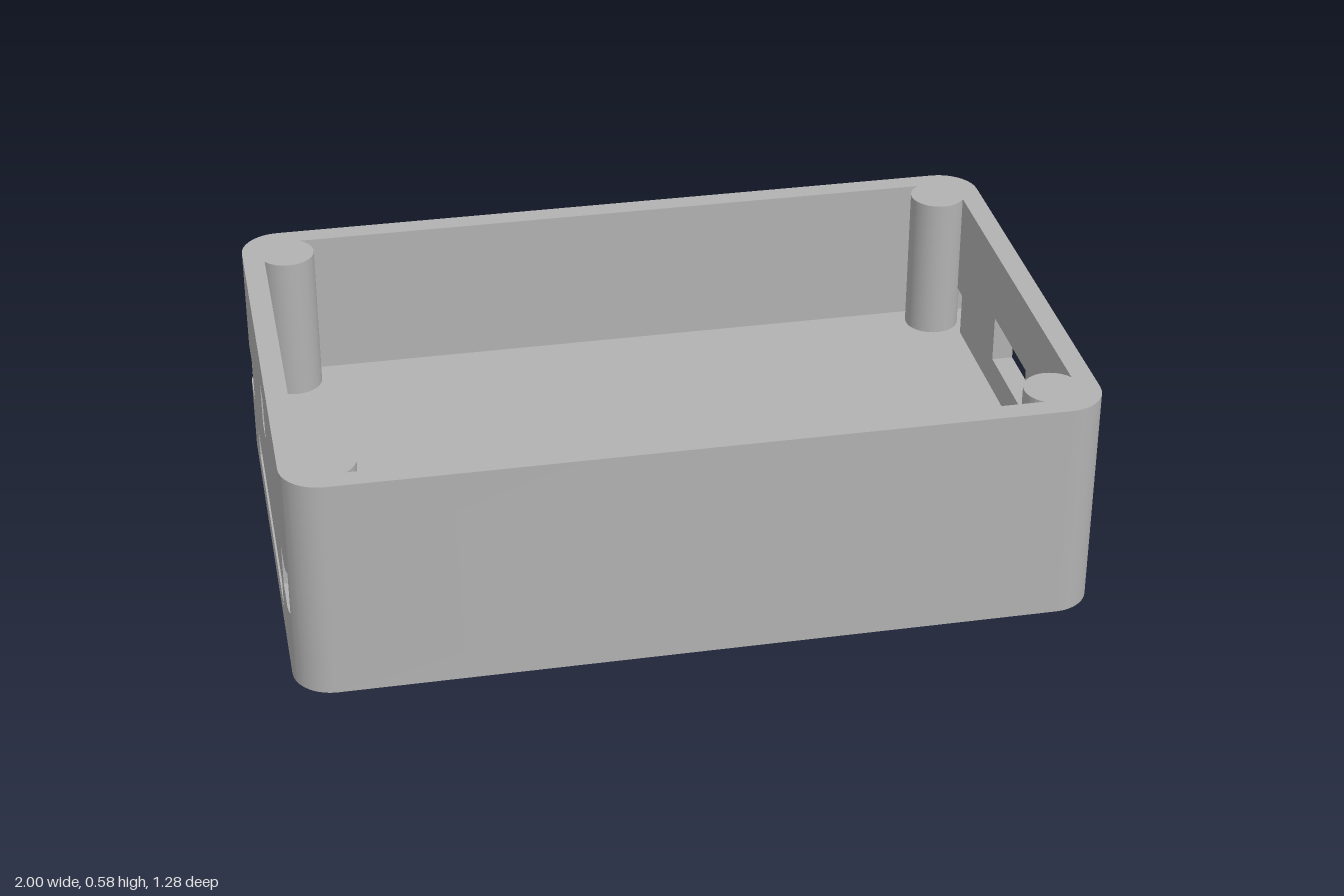
import * as THREE from 'three';
import { toCreasedNormals } from 'three/addons/utils/BufferGeometryUtils.js';

// Overall sizes
const W = 1, D = 0.64, TOP = 0.585, FLOOR = 0.195, CORNER = 0.1;
const IN_X = 0.945, IN_Z = 0.585;
const POST = { x: 0.885, z: 0.525, r: 0.072, bore: 0.025 };

// Openings in an end wall: z range, y range, and the x where the cut ends
const SHARED = [
  { z: [-0.36, 0.36], y: [0.075, 0.15], end: 0 }, // slot running right through the base
  { z: [0.44, 0.57], y: [0.195, 0.31], end: IN_X },
  { z: [-0.57, -0.44], y: [0.195, 0.31], end: IN_X },
];
const PORTS = {
  1: { z: [-0.14, 0.14], y: [0.28, 0.405], end: IN_X },
  '-1': { z: [-0.0425, 0.0425], y: [0.365, 0.48], end: IN_X },
};

const sortUnique = (a) => [...new Set(a.map((v) => +v.toFixed(5)))].sort((p, q) => p - q);

// Grid lines of the end walls, with the rounded corners sampled by angle
const halfZ = [0.0425, 0.14, 0.36, 0.44, 0.57, IN_Z];
for (let i = 0; i <= 9; i++) halfZ.push(D - CORNER + CORNER * Math.sin((i * Math.PI) / 18));
const ZS = sortUnique(halfZ.flatMap((z) => [z, -z]));
const YS = sortUnique([0, TOP, FLOOR, ...[...SHARED, PORTS[1], PORTS[-1]].flatMap((o) => o.y)]);

const outerX = (z) => {
  const t = Math.max(0, Math.abs(z) - (D - CORNER));
  return W - CORNER + Math.sqrt(Math.max(0, CORNER * CORNER - t * t));
};

// Collects quads and turns them into one geometry
function quadBuilder() {
  const pos = [];
  return {
    quad(pts, sx = 1) {
      const p = pts.map(([x, y, z]) => [x * sx, y, z]);
      if (sx < 0) p.reverse();
      for (const i of [0, 1, 2, 0, 2, 3]) pos.push(...p[i]);
    },
    geometry() {
      const g = new THREE.BufferGeometry();
      g.setAttribute('position', new THREE.Float32BufferAttribute(pos, 3));
      return toCreasedNormals(g, 0.45);
    },
  };
}

// Outer skin, inner skin and opening reveals of both ends, plus the long walls
function shellGeometry() {
  const b = quadBuilder();
  for (const sx of [1, -1]) {
    const openings = [...SHARED, PORTS[sx]];
    const openAt = (i, j) => {
      const z = (ZS[i] + ZS[i + 1]) / 2, y = (YS[j] + YS[j + 1]) / 2;
      return openings.find((o) => z > o.z[0] && z < o.z[1] && y > o.y[0] && y < o.y[1]);
    };
    for (let i = 0; i < ZS.length - 1; i++) {
      for (let j = 0; j < YS.length - 1; j++) {
        const z0 = ZS[i], z1 = ZS[i + 1], y0 = YS[j], y1 = YS[j + 1];
        const x0 = outerX(z0), x1 = outerX(z1);
        const open = openAt(i, j);
        if (!open) {
          b.quad([[x1, y0, z1], [x0, y0, z0], [x0, y1, z0], [x1, y1, z1]], sx);
          if (y0 > FLOOR - 0.001 && z0 > -IN_Z - 0.001 && z1 < IN_Z + 0.001)
            b.quad([[IN_X, y1, z1], [IN_X, y1, z0], [IN_X, y0, z0], [IN_X, y0, z1]], sx);
          continue;
        }
        const e = open.end;
        if (!openAt(i, j - 1)) b.quad([[e, y0, z1], [x1, y0, z1], [x0, y0, z0], [e, y0, z0]], sx);
        if (!openAt(i, j + 1)) b.quad([[e, y1, z0], [x0, y1, z0], [x1, y1, z1], [e, y1, z1]], sx);
        if (!openAt(i - 1, j)) b.quad([[e, y0, z0], [x0, y0, z0], [x0, y1, z0], [e, y1, z0]], sx);
        if (!openAt(i + 1, j)) b.quad([[e, y1, z1], [x1, y1, z1], [x1, y0, z1], [e, y0, z1]], sx);
      }
    }
  }
  // Long front and back walls
  const fx = W - CORNER;
  for (let j = 0; j < YS.length - 1; j++) {
    const y0 = YS[j], y1 = YS[j + 1];
    b.quad([[-fx, y0, D], [fx, y0, D], [fx, y1, D], [-fx, y1, D]]);
    b.quad([[fx, y0, -D], [-fx, y0, -D], [-fx, y1, -D], [fx, y1, -D]]);
  }
  b.quad([[IN_X, FLOOR, IN_Z], [-IN_X, FLOOR, IN_Z], [-IN_X, TOP, IN_Z], [IN_X, TOP, IN_Z]]);
  b.quad([[-IN_X, FLOOR, -IN_Z], [IN_X, FLOOR, -IN_Z], [IN_X, TOP, -IN_Z], [-IN_X, TOP, -IN_Z]]);
  return b.geometry();
}

// Rounded footprint shared by the base and the rim
function footprint() {
  const right = ZS.map((z) => new THREE.Vector2(outerX(z), z));
  const left = [...ZS].reverse().map((z) => new THREE.Vector2(-outerX(z), z));
  return new THREE.Shape([...right, ...left]);
}

// Rim opening: a rectangle whose corners bulge inward around the posts
function rimShape() {
  const a0 = 2 * Math.PI - Math.acos((IN_X - POST.x) / POST.r);
  const a1 = Math.PI - Math.asin((IN_Z - POST.z) / POST.r);
  const corner = [];
  for (let i = 0; i <= 24; i++) {
    const a = a0 + ((a1 - a0) * i) / 24;
    corner.push([POST.x + POST.r * Math.cos(a), POST.z + POST.r * Math.sin(a)]);
  }
  const loop = [];
  for (const [sx, sz] of [[1, 1], [-1, 1], [-1, -1], [1, -1]]) {
    const pts = corner.map(([x, z]) => new THREE.Vector2(x * sx, z * sz));
    loop.push(...(sx * sz > 0 ? pts : pts.reverse()));
  }
  const shape = footprint();
  shape.holes.push(new THREE.Path(loop));
  // Screw holes lie inside the post tops
  return shape;
}

export function createModel() {
  const group = new THREE.Group();
  const grey = new THREE.MeshStandardMaterial({ color: 0xb2b2b2 });
  grey.name = 'case grey';
  const add = (name, geometry, parent = group) => {
    const mesh = new THREE.Mesh(geometry, grey);
    mesh.name = name;
    parent.add(mesh);
    return mesh;
  };

  add('walls', shellGeometry());
  add('underside', new THREE.ShapeGeometry(footprint()).rotateX(Math.PI / 2));
  add('rim', new THREE.ShapeGeometry(rimShape()).rotateX(-Math.PI / 2)).position.y = TOP;
  add('floor', new THREE.PlaneGeometry(2 * IN_X, 2 * IN_Z).rotateX(-Math.PI / 2)).position.y = FLOOR;

  // Screw posts in the four corners, each with a bore down to the floor
  const V = (x, y) => new THREE.Vector2(x, y);
  const side = new THREE.LatheGeometry([V(POST.r, FLOOR), V(POST.r, TOP)], 40);
  const bore = new THREE.LatheGeometry([V(POST.bore, TOP), V(POST.bore, FLOOR)], 24);
  const cap = new THREE.RingGeometry(POST.bore, POST.r, 40).rotateX(-Math.PI / 2).translate(0, TOP, 0);
  for (const sx of [1, -1]) {
    for (const sz of [1, -1]) {
      const post = new THREE.Group();
      post.name = `${sz > 0 ? 'front' : 'back'}${sx > 0 ? 'Left' : 'Right'}ScrewPost`;
      post.position.set(sx * POST.x, 0, sz * POST.z);
      add('postSide', side, post);
      add('postBore', bore, post);
      add('postTop', cap, post);
      group.add(post);
    }
  }
  return group;
}
